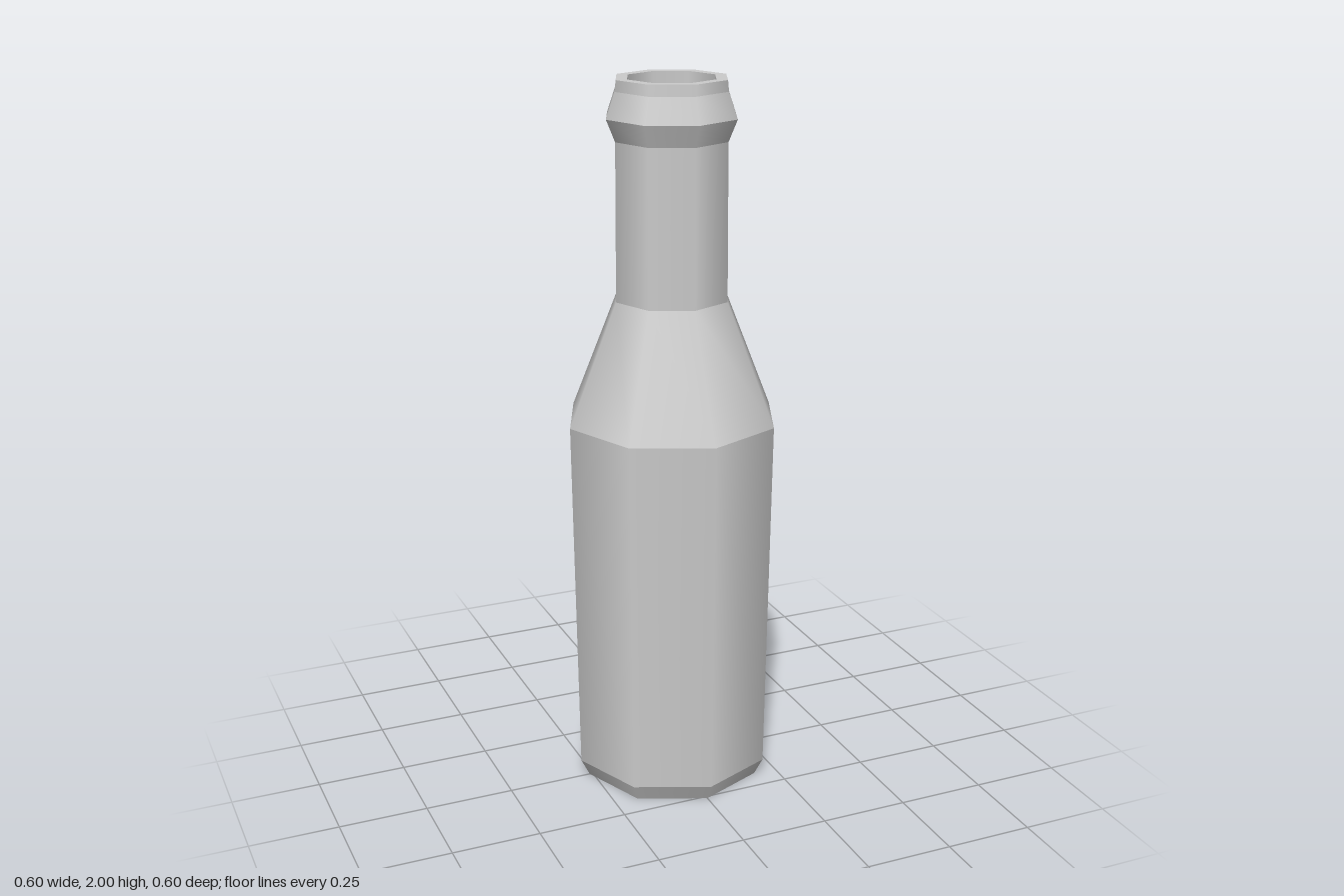
import * as THREE from 'three';

const SIDES = 8;

// Outline from the base centre, up the outside, over the lip and down the mouth.
// Each band is [name, radius, height] of its upper/inner end.
const START = [0, 0];
const BANDS = [
  ['base', 0.26, 0],
  ['baseChamfer', 0.285, 0.05],
  ['body', 0.3, 1.07],
  ['shoulder', 0.162, 1.41],
  ['neck', 0.16, 1.84],
  ['collarUnderside', 0.185, 1.9],
  ['collarTop', 0.16, 1.97],
  ['lip', 0.157, 2],
  ['rim', 0.125, 2],
  ['mouthWall', 0.125, 1.6],
  ['mouthFloor', 0, 1.6],
];

export function createModel() {
  const bottle = new THREE.Group();
  bottle.name = 'bottle';
  const material = new THREE.MeshStandardMaterial({ color: 0xcccccc });

  // One lathe per band: smooth around the bottle, sharp between bands
  let from = START;
  for (const [name, radius, height] of BANDS) {
    const profile = [new THREE.Vector2(...from), new THREE.Vector2(radius, height)];
    const band = new THREE.Mesh(new THREE.LatheGeometry(profile, SIDES), material);
    band.name = name;
    bottle.add(band);
    from = [radius, height];
  }
  return bottle;
}
